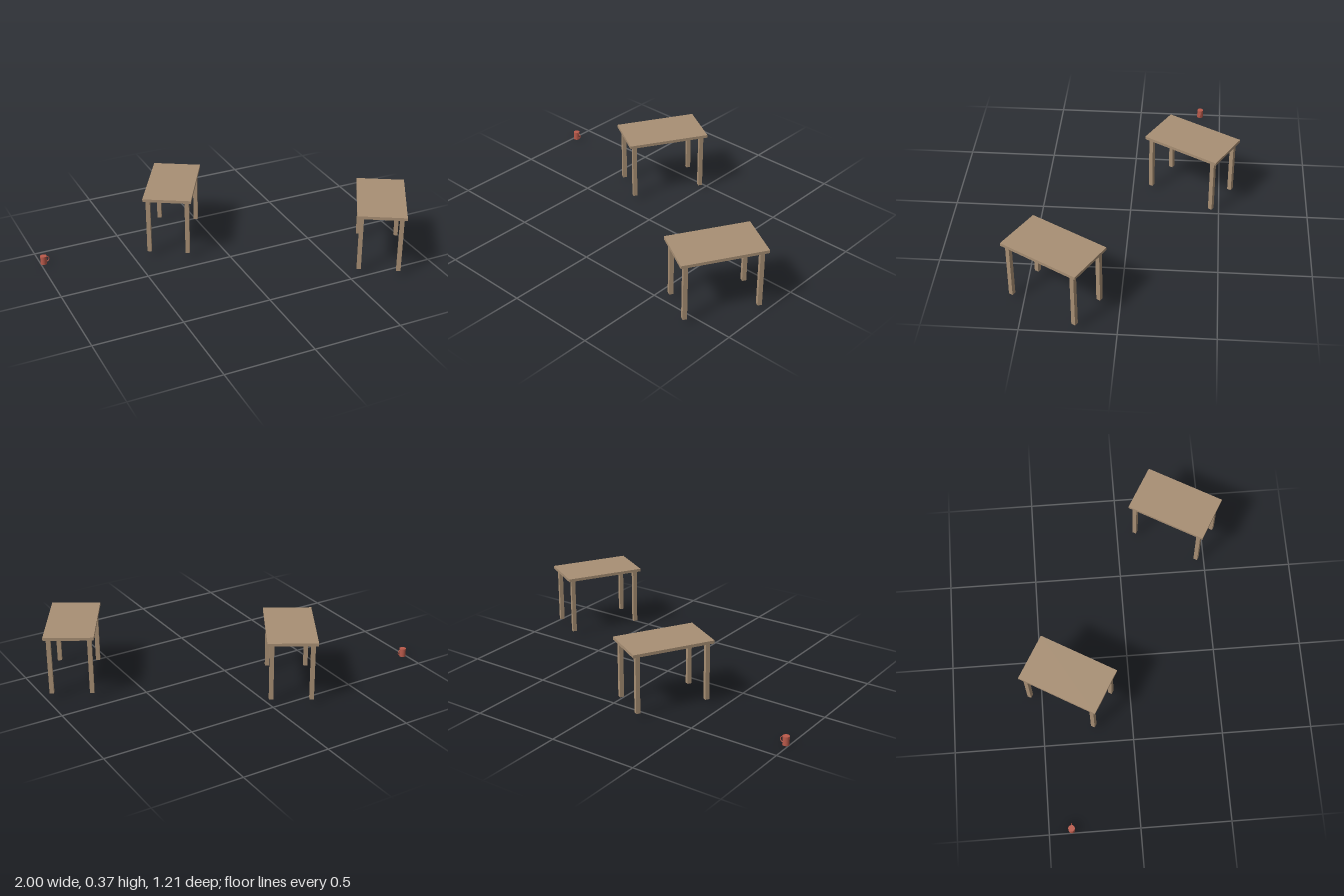
import * as THREE from 'three';

export function createModel() {
  const model = new THREE.Group();
  const wood = new THREE.MeshStandardMaterial({ color: 0xa88f74 });
  wood.name = 'wood';
  const red = new THREE.MeshStandardMaterial({ color: 0xb9594a });
  red.name = 'red clay';

  const add = (parent, name, geometry, material, x, y, z) => {
    const mesh = new THREE.Mesh(geometry, material);
    mesh.name = name;
    mesh.position.set(x, y, z);
    parent.add(mesh);
    return mesh;
  };

  // Two matching tables, both turned 30 degrees
  const topGeometry = new THREE.BoxGeometry(0.27, 0.017, 0.461);
  const legGeometry = new THREE.BoxGeometry(0.0236, 0.325, 0.0236);
  const makeTable = (name, x, z) => {
    const table = new THREE.Group();
    table.name = name;
    add(table, 'tabletop', topGeometry, wood, 0, 0.3605, 0);
    for (const sx of [-1, 1]) {
      for (const sz of [-1, 1]) {
        add(table, 'leg', legGeometry, wood, sx * 0.109, 0.1895, sz * 0.2);
      }
    }
    table.position.set(x, 0, z);
    table.rotation.y = -Math.PI / 6;
    model.add(table);
  };
  makeTable('backTable', -0.21, -0.336);
  makeTable('frontTable', 0.767, 0.336);

  // Small mug with a ring handle on its +x side
  const mug = new THREE.Group();
  mug.name = 'mug';
  add(mug, 'mugBody', new THREE.CylinderGeometry(0.018, 0.018, 0.049, 24), red, 0, 0.0245, 0);
  const handle = add(mug, 'mugHandle', new THREE.TorusGeometry(0.016, 0.0026, 8, 20, Math.PI), red, 0.016, 0.0255, 0);
  handle.rotation.z = -Math.PI / 2;
  mug.position.set(-0.982, 0, -0.376);
  model.add(mug);

  return model;
}
